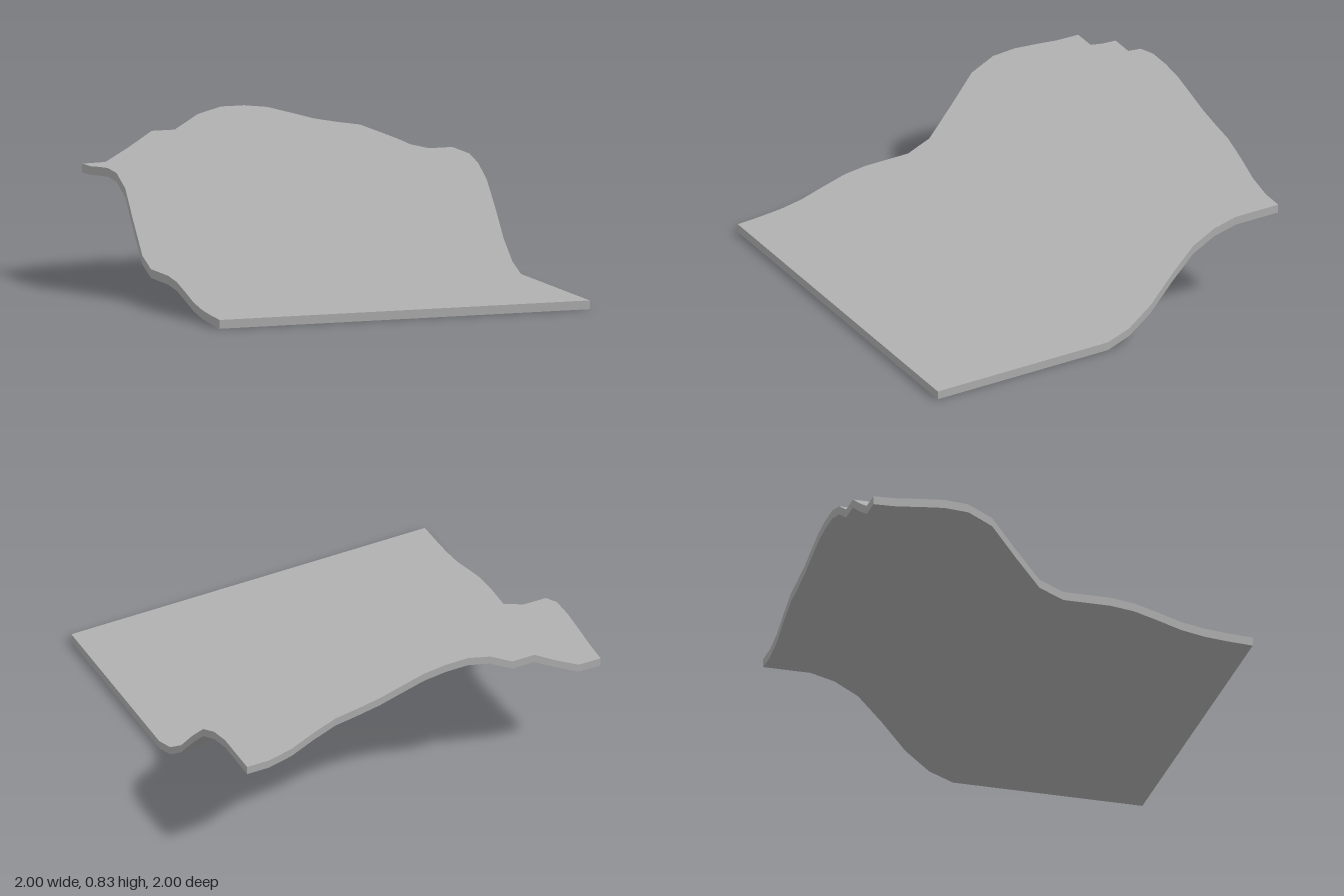
import * as THREE from 'three';

const THICK = 0.045;
const CELLS = 16;

// Height of the rear ridge and the front terrace across x = -1 .. 1
const ridge = [0.603, 0.605, 0.66, 0.724, 0.724, 0.798, 0.83, 0.83, 0.815,
  0.78, 0.744, 0.72, 0.7, 0.65, 0.59, 0.56, 0.56];
const terrace = [0.17, 0.17, 0.17, 0.17, 0.17, 0.175, 0.183, 0.194, 0.2,
  0.183, 0.14, 0.1, 0.07, 0.066, 0.06, 0.052, 0.045];

// Share of the climb completed from z = -1 to 0: steep left flank, gentler rest
const climbLeft = [1, 1, 1, 1, 0.98, 0.84, 0.47, 0.12, 0];
const climbRight = [1, 1, 1, 0.94, 0.81, 0.56, 0.28, 0.09, 0];

// Fade of the terrace down to the flat front edge, z = 0 to 1
const fade = [1, 1, 1, 0.88, 0.6, 0.3, 0.13, 0.05, 0];

function groundHeight(x, z) {
  const i = Math.round((x + 1) * CELLS / 2);
  const j = Math.round((z + 1) * CELLS / 2);
  const low = terrace[i];
  if (j >= 8) return THICK + (low - THICK) * fade[j - 8];
  const blend = THREE.MathUtils.clamp((-0.325 - x) / 0.175, 0, 1);
  const climb = THREE.MathUtils.lerp(climbRight[j], climbLeft[j], blend);
  // Slight sag of the rear right corner
  const sag = 0.028 * THREE.MathUtils.clamp((-0.625 - x) / 0.25, 0, 1)
    * THREE.MathUtils.smoothstep(-z, 0.6, 0.95);
  return low + (ridge[i] - low) * climb - sag;
}

export function createModel() {
  const model = new THREE.Group();
  model.name = 'hillside';

  // Thin slab bent over the terrain; it keeps the flat box normals for even shading
  const geometry = new THREE.BoxGeometry(2, THICK, 2, CELLS, 1, CELLS);
  const p = geometry.attributes.position;
  for (let k = 0; k < p.count; k++) {
    const top = groundHeight(p.getX(k), p.getZ(k));
    p.setY(k, p.getY(k) > 0 ? top : top - THICK);
  }

  const terrain = new THREE.Mesh(geometry, new THREE.MeshStandardMaterial({ color: 0xb0b0b0 }));
  terrain.name = 'terrainSlab';
  model.add(terrain);
  return model;
}
